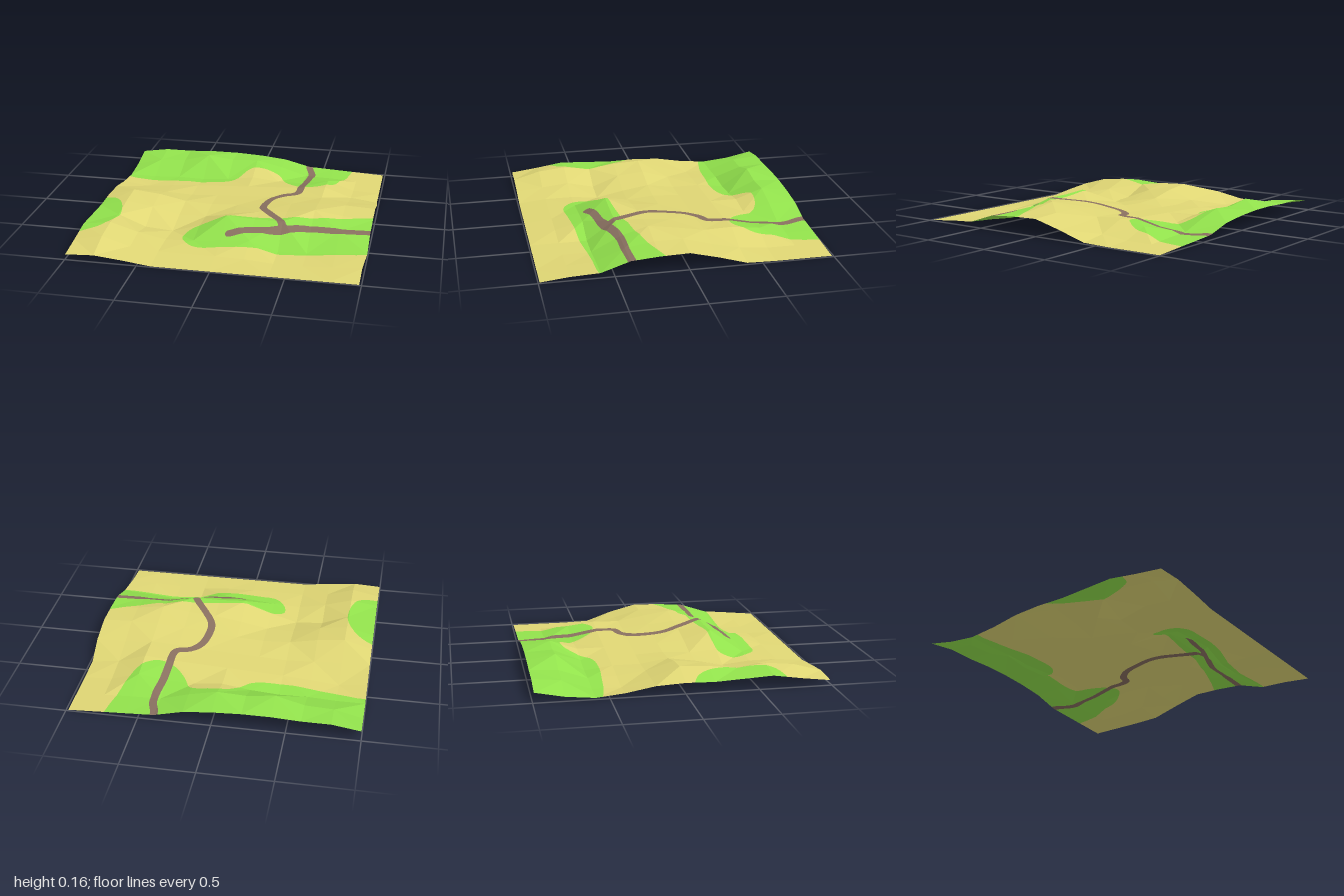
import * as THREE from 'three';

// Terrain heights in hundredths, one row per z from back to front, x from left to right
const ROWS = [
  [7, 10, 10, 11, 11, 10, 8, 3, 2, 1, 0],
  [3, 8, 9, 14.5, 12, 13, 8.5, 2.5, 2, 1, 0],
  [1, 1, 2, 1.5, 3, 6, 4, 4, 7.5, 1, 0],
  [3, 0.5, 2.5, 4, 5, 6, 7, 8, 10, 3, 0.5],
  [6.5, 6, 5, 4, 5, 6, 7, 8.5, 9.5, 7.5, 7],
  [7.5, 13, 11, 7, 6, 7, 9, 11, 13, 13, 12],
  [7, 12, 9, 4, 4.5, 8.5, 11.5, 13, 16, 13, 11.5],
  [8, 9.5, 1.5, 0, 6, 15, 14, 14, 10, 10, 10],
  [9, 12, 6, 2, 3, 5, 6.5, 0, 0, 2, 3.5],
  [6, 10, 4, 2, 2, 2, 1.5, 0, 0, 1, 2],
  [3.5, 4.5, 2.5, 0, 0, 0, 0, 0, 0, 0, 0],
];
const SUB = 12; // subdivisions of each facet, so painted borders follow their curves

const v2 = ([x, z]) => new THREE.Vector2(x, z);
const smoothLine = (pts, closed) => {
  const c = new THREE.CatmullRomCurve3(pts.map(([x, z]) => new THREE.Vector3(x, 0, z)), closed, 'centripetal');
  return c.getPoints(pts.length * 4).map((p) => v2([p.x, p.z]));
};

// Grass patches: back hill, left edge, front ridge
const patches = [
  [[-1.2, -1.2], [0.73, -1.2], [0.73, -0.95], [0.68, -0.72], [0.62, -0.52], [0.5, -0.42], [0.38, -0.44],
    [0.27, -0.55], [0.2, -0.67], [0.08, -0.71], [-0.04, -0.7], [-0.12, -0.6], [-0.2, -0.52], [-0.37, -0.49],
    [-0.6, -0.5], [-0.9, -0.53], [-1.2, -0.63]],
  [[-1.2, 0.05], [-0.95, 0.08], [-0.85, 0.18], [-0.79, 0.38], [-0.83, 0.58], [-0.91, 0.66], [-1.2, 0.69]],
  [[-0.3, 0.53], [-0.25, 0.42], [-0.1, 0.385], [0.15, 0.36], [0.45, 0.32], [0.75, 0.25], [1.2, 0.14],
    [1.2, 0.54], [0.6, 0.62], [0.3, 0.655], [0, 0.68], [-0.2, 0.675]],
].map((p) => smoothLine(p, true));

// Road centre lines: main road and the cross branch
const roads = [
  [[0.395, -1.1], [0.395, -0.96], [0.43, -0.84], [0.43, -0.74], [0.415, -0.6], [0.405, -0.45], [0.39, -0.27],
    [0.3, -0.23], [0.23, -0.15], [0.2, -0.03], [0.2, 0.1], [0.27, 0.23], [0.35, 0.35], [0.4, 0.44]],
  [[0.035, 0.54], [0.15, 0.505], [0.3, 0.485], [0.4, 0.455], [0.58, 0.4], [0.8, 0.395], [1.1, 0.38]],
].map((p) => smoothLine(p, false));

// Distance from a ground point to a polyline
function distance(line, x, z) {
  let best = Infinity;
  for (let i = 1; i < line.length; i++) {
    const a = line[i - 1], dx = line[i].x - a.x, dz = line[i].y - a.y;
    const l = dx * dx + dz * dz || 1e-9;
    const t = Math.min(1, Math.max(0, ((x - a.x) * dx + (z - a.y) * dz) / l));
    best = Math.min(best, Math.hypot(x - a.x - dx * t, z - a.y - dz * t));
  }
  return best;
}
function inside(line, x, z) {
  let hit = false;
  for (let i = 0, j = line.length - 1; i < line.length; j = i++) {
    const a = line[i], b = line[j];
    if ((a.y > z) !== (b.y > z) && x < ((b.x - a.x) * (z - a.y)) / (b.y - a.y) + a.x) hit = !hit;
  }
  return hit;
}
// Fields: positive inside the painted area
const roadField = (p) => 0.027 - Math.min(...roads.map((r) => distance(r, p.x, p.z)));
const grassField = (p) => Math.max(...patches.map((g) => distance(g, p.x, p.z) * (inside(g, p.x, p.z) ? 1 : -1)));

// Keep the part of a polygon where sign * field is positive
function clip(poly, values, sign) {
  const out = [];
  poly.forEach((p, i) => {
    const k = (i + 1) % poly.length, a = values[i] * sign, b = values[k] * sign;
    if (a >= 0) out.push(p);
    if ((a > 0 && b < 0) || (a < 0 && b > 0)) out.push(p.clone().lerp(poly[k], a / (a - b)));
  });
  return out;
}
function split(poly, field) {
  if (poly.length < 3) return [[], []];
  const values = poly.map(field);
  return [clip(poly, values, 1), values.every((v) => v >= 0) ? [] : clip(poly, values, -1)];
}
function addPolygon(list, poly) {
  for (let i = 2; i < poly.length; i++) {
    for (const p of [poly[0], poly[i - 1], poly[i]]) list.push(p.x, p.y, p.z);
  }
}

export function createModel() {
  const model = new THREE.Group();
  model.name = 'terrain';
  const earth = [], grass = [], road = [];

  const vertex = (i, j) => {
    const bulge = i === 10 && j >= 4 && j <= 8 ? 0.015 : 0;
    return new THREE.Vector3(-0.998 + 0.1983 * i + bulge, ROWS[j][i] / 100, -0.99 + 0.198 * j);
  };

  // Cut one flat facet into small triangles and sort the pieces by surface
  const addFacet = (a, b, c) => {
    const u = b.clone().sub(a).divideScalar(SUB), v = c.clone().sub(a).divideScalar(SUB);
    const at = (m, n) => a.clone().addScaledVector(u, m).addScaledVector(v, n);
    const paint = (tri) => {
      const [onRoad, offRoad] = split(tri, roadField);
      const [onGrass, offGrass] = split(offRoad, grassField);
      addPolygon(road, onRoad);
      addPolygon(grass, onGrass);
      addPolygon(earth, offGrass);
    };
    for (let m = 0; m < SUB; m++) {
      for (let n = 0; n < SUB - m; n++) {
        paint([at(m, n), at(m + 1, n), at(m, n + 1)]);
        if (m + n < SUB - 1) paint([at(m + 1, n), at(m + 1, n + 1), at(m, n + 1)]);
      }
    }
  };

  // Facets with alternating diagonals
  for (let j = 0; j < 10; j++) {
    for (let i = 0; i < 10; i++) {
      const a = vertex(i, j), b = vertex(i, j + 1), c = vertex(i + 1, j + 1), d = vertex(i + 1, j);
      if (((i + j) % 2 === 0) !== (j === 9)) {
        addFacet(a, b, c);
        addFacet(a, c, d);
      } else {
        addFacet(a, b, d);
        addFacet(b, c, d);
      }
    }
  }

  const addSurface = (name, color, list) => {
    const geometry = new THREE.BufferGeometry();
    geometry.setAttribute('position', new THREE.Float32BufferAttribute(list, 3));
    geometry.computeVertexNormals();
    const material = new THREE.MeshStandardMaterial({ color, side: THREE.DoubleSide, flatShading: true });
    material.name = name;
    const mesh = new THREE.Mesh(geometry, material);
    mesh.name = name;
    model.add(mesh);
  };
  addSurface('dryEarth', 0xdfd674, earth);
  addSurface('grass', 0x92e24c, grass);
  addSurface('road', 0x897060, road);
  return model;
}
